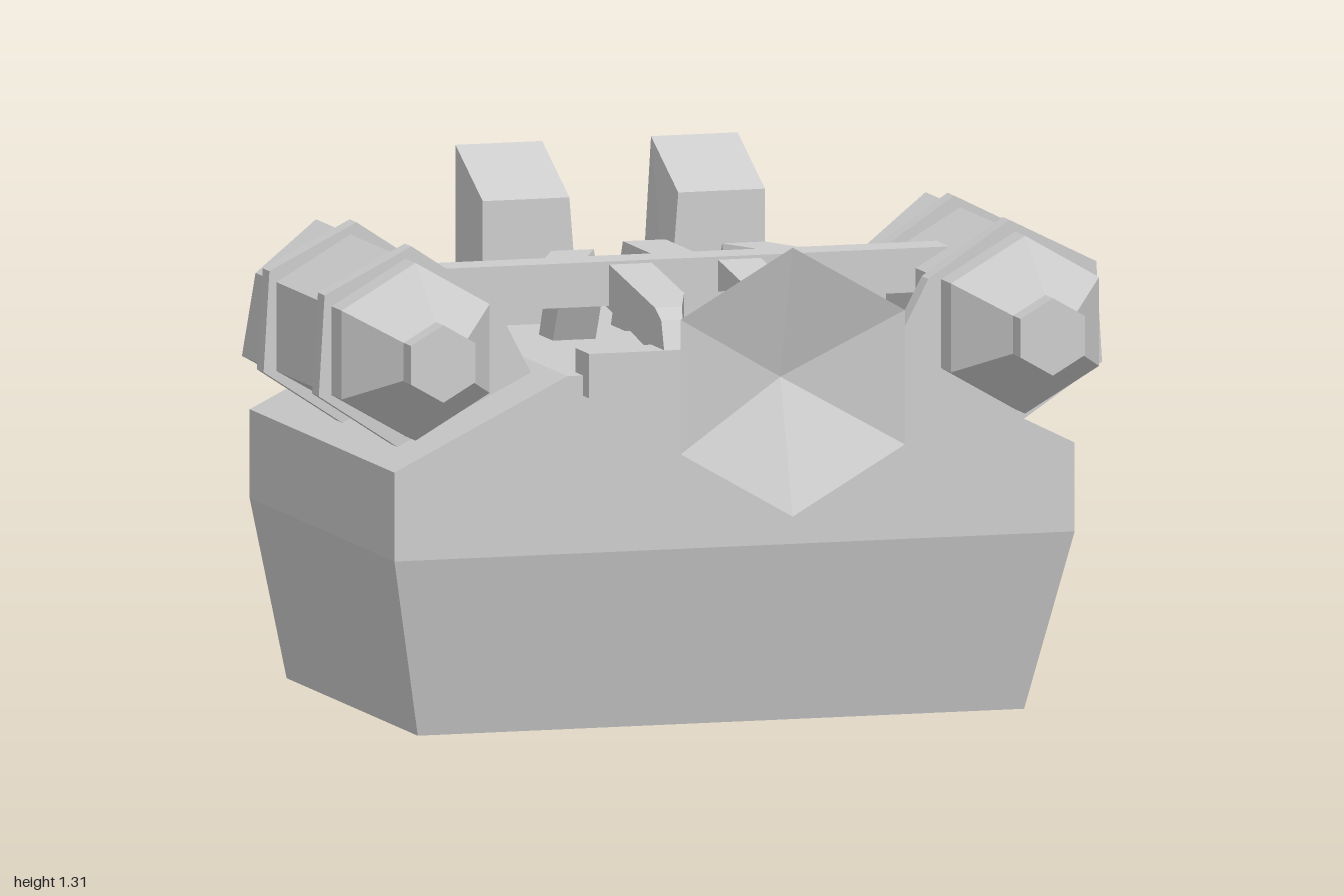
import * as THREE from 'three';

const material = new THREE.MeshStandardMaterial({ color: 0xcccccc, flatShading: true });

// Flat-faced solid through rings of points, counter-clockwise seen from the last ring's side.
// dish pushes the centre of the last cap inwards along z.
function loft(rings, dish = 0) {
  const out = [];
  const tri = (...pts) => pts.forEach((p) => out.push(...p));
  const centre = (ring) => [0, 1, 2].map((k) => ring.reduce((s, p) => s + p[k], 0) / ring.length);
  const n = rings[0].length;
  const first = rings[0], last = rings[rings.length - 1];
  const c0 = centre(first), c1 = centre(last);
  c1[2] -= dish;
  for (let i = 0; i < n; i++) {
    const j = (i + 1) % n;
    for (let k = 0; k + 1 < rings.length; k++) {
      const a = rings[k], b = rings[k + 1];
      tri(a[i], a[j], b[j]);
      tri(a[i], b[j], b[i]);
    }
    tri(c0, first[j], first[i]);
    tri(c1, last[i], last[j]);
  }
  const geo = new THREE.BufferGeometry();
  geo.setAttribute('position', new THREE.Float32BufferAttribute(out, 3));
  geo.computeVertexNormals();
  return geo;
}

// Copy reflected in x, with the corner order turned round
function mirrored(geo) {
  const p = geo.attributes.position, out = [];
  for (let i = 0; i < p.count; i += 3)
    for (const k of [i, i + 2, i + 1]) out.push(-p.getX(k), p.getY(k), p.getZ(k));
  const g = new THREE.BufferGeometry();
  g.setAttribute('position', new THREE.Float32BufferAttribute(out, 3));
  g.computeVertexNormals();
  return g;
}

// Hexagon with a corner on top; z is a number or a rule per corner
const hex = (x, y, r, z, turn = 0) => Array.from({ length: 6 }, (_, i) => {
  const a = Math.PI / 2 + i * Math.PI / 3 + turn;
  return [x + r * Math.cos(a), y + r * Math.sin(a), typeof z === 'function' ? z(i) : z];
});
// Upright square facing z
const square = (y, h, z) => [[h, y - h, z], [h, y + h, z], [-h, y + h, z], [-h, y - h, z]];
// Level rectangle
const level = (x0, x1, y, back, front, yBack = y) =>
  [[x0, y, front], [x1, y, front], [x1, yBack, back], [x0, yBack, back]];
// Bar running along z, from sections [x, zTop, top, zBottom, bottom]
const bar = (sections, h = 0.055) => loft(sections.map(([x, zt, t, zb, b]) =>
  [[x + h, b, zb], [x + h, t, zt], [x - h, t, zt], [x - h, b, zb]]));

export function createModel() {
  const model = new THREE.Group();
  const add = (name, geo, parent = model) => {
    const mesh = new THREE.Mesh(geo, material);
    mesh.name = name;
    parent.add(mesh);
    return mesh;
  };
  const addPair = (name, geo) => {
    add(name + 'Right', geo);
    add(name + 'Left', mirrored(geo));
  };
  const box = (name, w, h, d, x, y, z) => add(name, new THREE.BoxGeometry(w, h, d).translate(x, y, z));

  // Hull: stacked rectangles, front undercut below
  add('hull', loft([[0.78, 0, 0.24], [0.875, 0.45, 0.35], [0.875, 0.67, 0.35], [0.43, 0.89, 0.35]]
    .map(([w, y, front]) => level(-w, w, y, -0.82, front))));

  // Side tanks with zigzag rear rim, tapered nose and cap
  const tx = -0.784, ty = 0.95;
  addPair('tank', loft([
    hex(tx, ty, 0.22, (i) => (i % 2 ? -0.46 : -0.57)),
    hex(tx, ty, 0.22, 0.235),
    hex(tx, ty, 0.085, 0.405),
  ]));
  addPair('tankCap', loft([hex(tx, ty, 0.096, 0.4), hex(tx, ty, 0.096, 0.46)]));

  // Bands round the tanks, with a foot reaching the deck edge
  for (const [name, z] of [['frontBand', 0.128], ['rearBand', -0.318]]) {
    const section = (zz) => {
      const ring = hex(tx, ty, 0.25, zz, -0.06);
      ring[4] = [-0.46, 0.87, zz];
      return ring;
    };
    addPair(name, loft([section(z - 0.027), section(z + 0.027)]));
  }

  // Front horn: square neck and flared hexagonal mouth, slightly dished
  add('hornNeck', loft([square(0.92, 0.108, 0.26), square(0.92, 0.192, 0.545)]));
  add('hornMouth', loft([hex(0, 0.92, 0.193, 0.54), hex(0, 0.92, 0.333, 0.82)], 0.1));

  // Frame over the deck
  box('crossBeam', 1.365, 0.11, 0.105, 0, 1.055, -0.103);
  box('frontCrossbar', 0.78, 0.11, 0.11, 0, 0.895, 0.345);
  addPair('rail', bar([
    [-0.14, -0.1, 1.11, -0.1, 1.0],
    [-0.14, 0.32, 1.045, 0.29, 0.93],
    [-0.14, 0.37, 1.02, 0.35, 0.88],
    [-0.14, 0.4, 0.93, 0.4, 0.85],
  ]));
  add('rearCentreLeg', bar([
    [0, -0.49, 0.86, -0.38, 0.86],
    [0, -0.38, 1.11, -0.29, 1.0],
    [0, -0.1, 1.11, -0.1, 1.0],
  ]));
  addPair('rearSideLeg', bar([
    [-0.22, -0.38, 0.86, -0.27, 0.86],
    [-0.22, -0.27, 1.11, -0.2, 1.0],
    [-0.272, -0.155, 1.11, -0.15, 1.0],
    [-0.272, -0.1, 1.11, -0.1, 1.0],
  ]));

  // Rear stacks with slanted tops
  addPair('stack', loft([
    level(-0.363, -0.113, 0.86, -0.765, -0.545),
    level(-0.363, -0.14, 1.2, -0.765, -0.545, 1.31),
  ]));

  return model;
}
